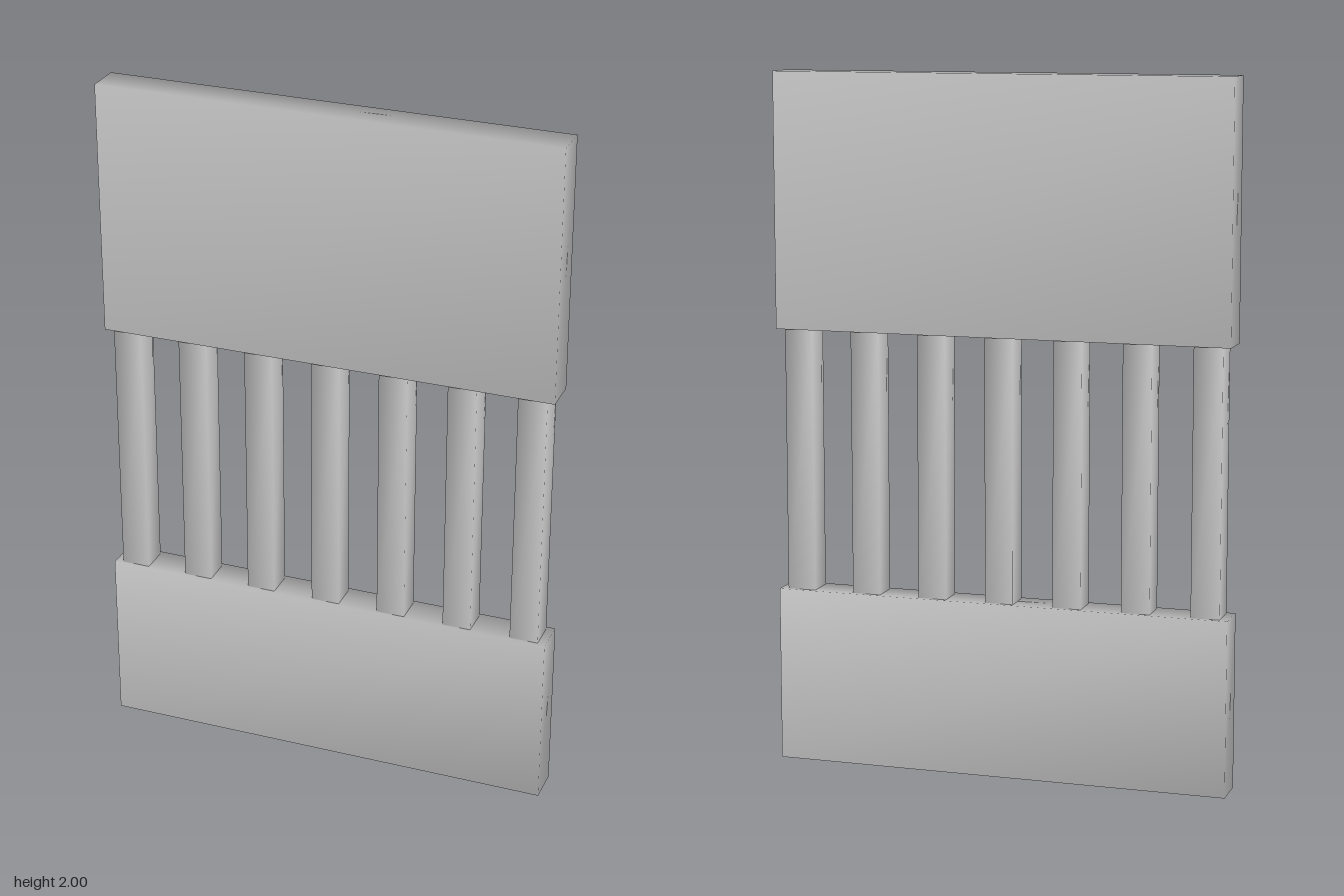
import * as THREE from 'three';
import { mergeVertices } from 'three/addons/utils/BufferGeometryUtils.js';

const material = new THREE.MeshStandardMaterial({ color: 0xcccccc });

// Box standing between two heights, with corner normals shared for soft shading
function softBox(name, width, depth, bottom, top, x = 0) {
  const box = new THREE.BoxGeometry(width, top - bottom, depth);
  box.deleteAttribute('normal');
  box.deleteAttribute('uv');
  const geometry = mergeVertices(box);
  geometry.computeVertexNormals();
  const mesh = new THREE.Mesh(geometry, material);
  mesh.name = name;
  mesh.position.set(x, (bottom + top) / 2, 0);
  return mesh;
}

export function createModel() {
  const group = new THREE.Group();
  group.name = 'barredPanel';

  const width = 1.33, depth = 0.105;
  const lowerTop = 0.507, upperBottom = 1.268;

  // Solid panels below and above the opening
  group.add(softBox('lowerPanel', width, depth, 0, lowerTop));
  group.add(softBox('upperPanel', width, depth, upperBottom, 2));

  // Seven evenly spaced square bars across the opening
  const bars = new THREE.Group();
  bars.name = 'bars';
  for (let i = -3; i <= 3; i++) {
    bars.add(softBox('bar', 0.083, 0.083, lowerTop, upperBottom, i * 0.2));
  }
  group.add(bars);

  return group;
}
